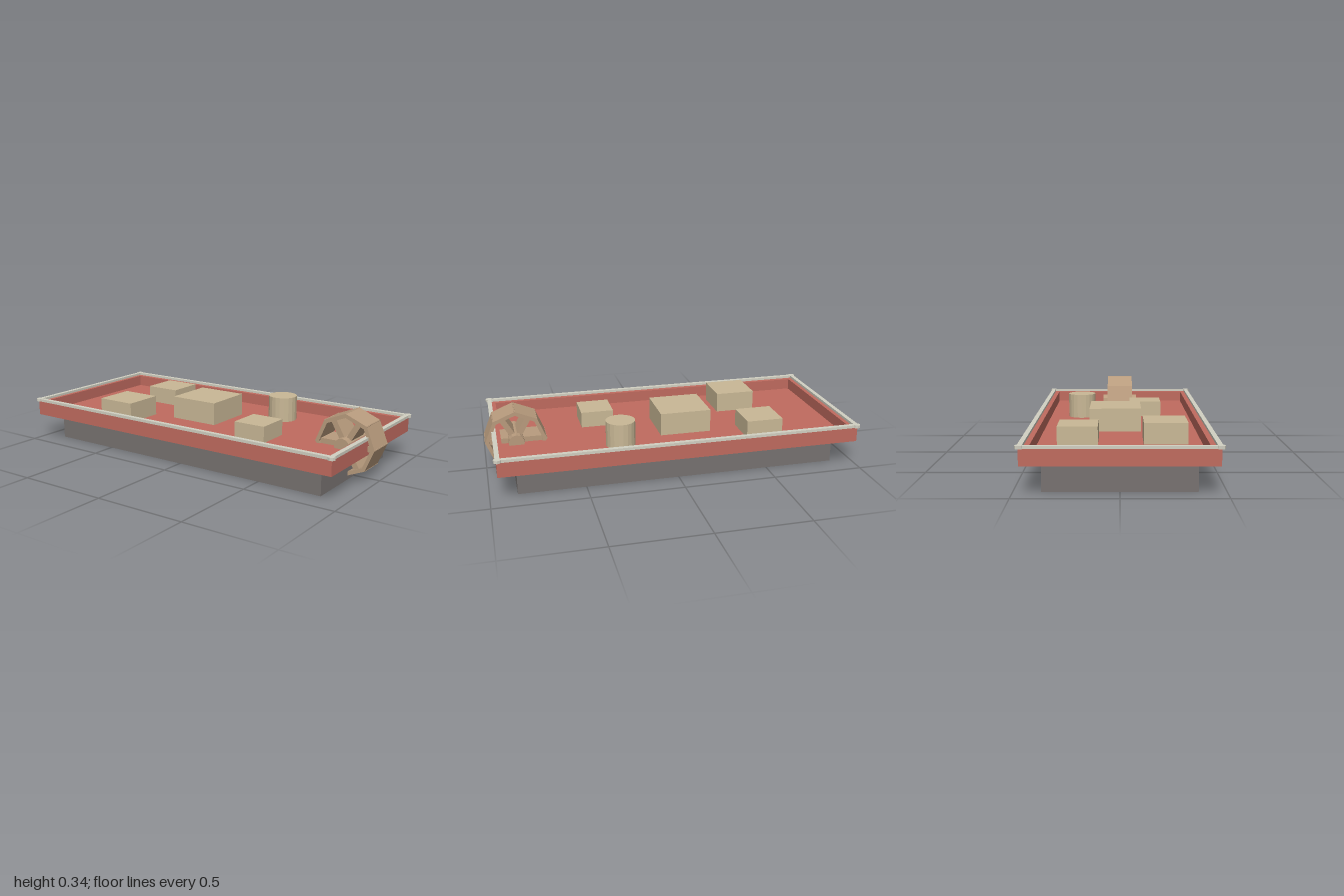
import * as THREE from 'three';

const CZ = -0.015; // centre of the hull along z
const FLOOR = 0.165; // deck height inside the tray

const paint = (color) => new THREE.MeshStandardMaterial({ color, flatShading: true });

function add(parent, name, geometry, material, x = 0, y = 0, z = 0) {
  const mesh = new THREE.Mesh(geometry, material);
  mesh.name = name;
  mesh.position.set(x, y, z);
  parent.add(mesh);
  return mesh;
}

function rect(PathType, hw, hl) {
  const p = new PathType();
  p.moveTo(-hw, -hl);
  p.lineTo(hw, -hl);
  p.lineTo(hw, hl);
  p.lineTo(-hw, hl);
  p.closePath();
  return p;
}

export function createModel() {
  const model = new THREE.Group();
  model.name = 'cargoBarge';
  const grey = paint(0x777270);
  const red = paint(0xc06b5f);
  const pale = paint(0xd2d0c2);
  const beige = paint(0xc9b896);
  const brown = paint(0xb99c7e);

  // Lower hull
  add(model, 'lowerHull', new THREE.BoxGeometry(0.734, 0.145, 1.738), grey, 0, 0.0725, CZ + 0.003);

  // Open tray: surrounding wall and sunken deck
  const wall = rect(THREE.Shape, 0.459, 0.97);
  wall.holes.push(rect(THREE.Path, 0.415, 0.93));
  const wallGeometry = new THREE.ExtrudeGeometry(wall, { depth: 0.083, bevelEnabled: false });
  wallGeometry.rotateX(-Math.PI / 2);
  add(model, 'trayWall', wallGeometry, red, 0, 0.145, CZ);
  add(model, 'deck', new THREE.BoxGeometry(0.83, FLOOR - 0.145, 1.86), red, 0, (FLOOR + 0.145) / 2, CZ);

  // Rim rail with round corner caps
  const rail = new THREE.Group();
  rail.name = 'rimRail';
  model.add(rail);
  for (const s of [-1, 1]) {
    add(rail, 'sideRail', new THREE.BoxGeometry(0.024, 0.015, 1.928), pale, s * 0.453, 0.234, CZ);
    add(rail, 'endRail', new THREE.BoxGeometry(0.906, 0.015, 0.024), pale, 0, 0.234, CZ + s * 0.964);
    for (const t of [-1, 1]) {
      add(rail, 'cornerCap', new THREE.CylinderGeometry(0.02, 0.02, 0.016, 8), pale,
        s * 0.455, 0.234, CZ + t * 0.965);
    }
  }

  // Deck cargo: x, z, width, length, top
  const crates = [
    [-0.23, -0.478, 0.222, 0.224, 0.275],
    [0.212, -0.503, 0.204, 0.204, 0.26],
    [0.025, -0.093, 0.28, 0.284, 0.29],
    [-0.153, 0.365, 0.186, 0.182, 0.253],
  ];
  for (const [x, z, w, l, top] of crates) {
    add(model, 'crate', new THREE.BoxGeometry(w, top - FLOOR, l), beige, x, (top + FLOOR) / 2, z);
  }
  add(model, 'drum', new THREE.CylinderGeometry(0.08, 0.08, 0.303 - FLOOR, 20), beige,
    0.228, (0.303 + FLOOR) / 2, 0.288);

  // Paddle wheel at the front, turning about x
  const wheel = new THREE.Group();
  wheel.name = 'paddleWheel';
  wheel.position.set(0, 0.178, 0.832);
  model.add(wheel);
  const axle = add(wheel, 'axle', new THREE.CylinderGeometry(0.043, 0.043, 0.22, 12), brown);
  axle.rotation.z = Math.PI / 2;
  // Eight rim plates
  for (let i = 0; i < 8; i++) {
    const geometry = new THREE.BoxGeometry(0.16, 0.02, 0.131);
    geometry.translate(0, 0.143, 0);
    add(wheel, 'rimPlate', geometry, brown).rotation.x = (i + 0.5) * Math.PI / 4;
  }
  // Six broad spokes
  for (let i = 0; i < 6; i++) {
    const geometry = new THREE.BoxGeometry(0.14, 0.135, 0.03);
    geometry.translate(0, 0.0725, 0);
    add(wheel, 'spoke', geometry, brown).rotation.x = (i + 0.5) * Math.PI / 3;
  }
  return model;
}
